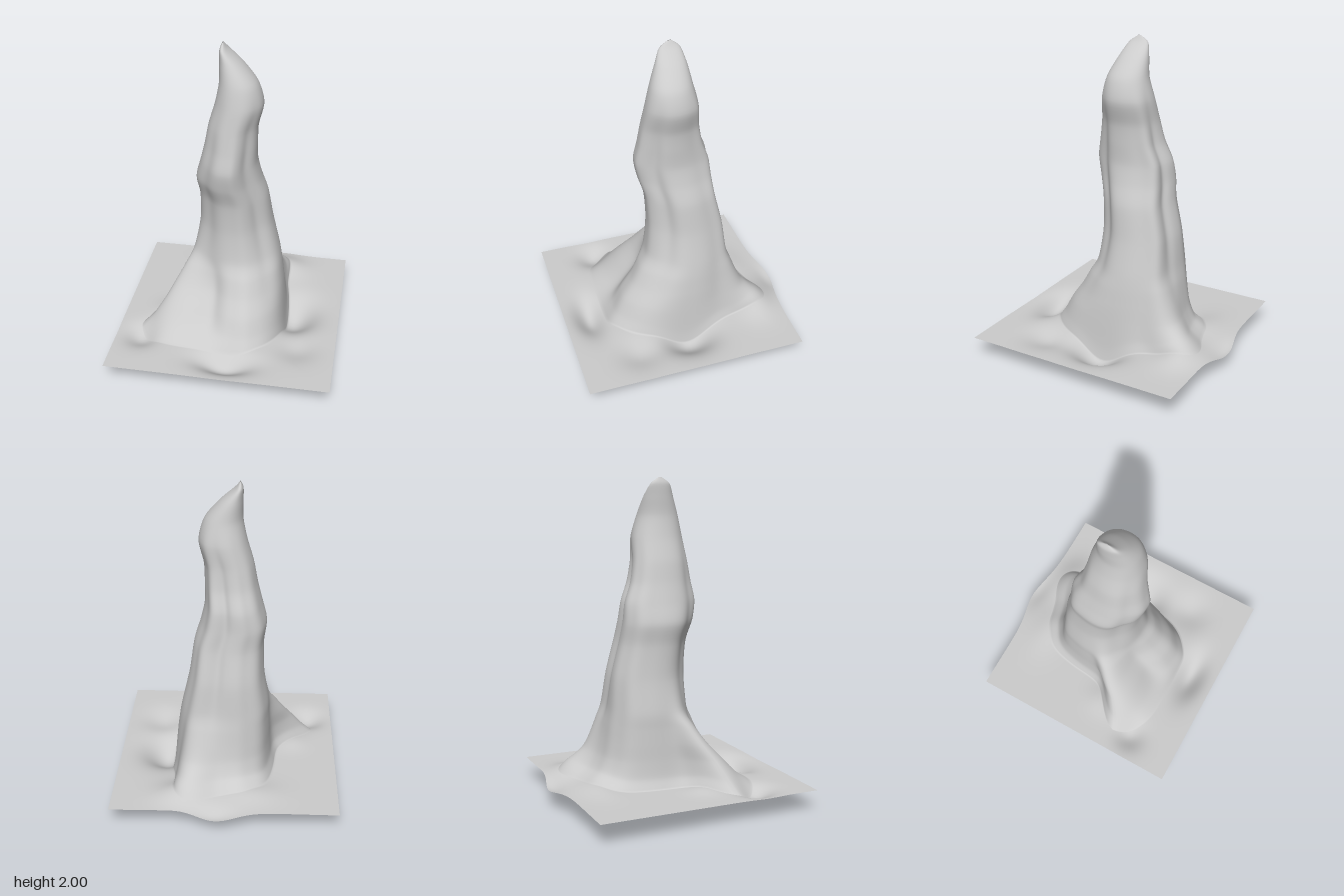
import * as THREE from 'three';

const SEG = 160, SPIRE_ROWS = 90, GROUND_ROWS = 36;
const GROUND_Y = 0.135, CZ = 0.0275, HALF = 0.7, FOOT = 0.29;

// Spire sections, tip to base: y, xMin, xMax, zMin, zMax, reach of the side foot
const SECTIONS = [
  [2.00, -0.075, -0.07, -0.04, -0.02, 0],
  [1.96, -0.09, -0.04, -0.09, 0.035, 0],
  [1.88, -0.09, 0.05, -0.115, 0.075, 0],
  [1.77, -0.09, 0.14, -0.135, 0.12, 0],
  [1.64, -0.115, 0.175, -0.17, 0.15, 0],
  [1.50, -0.155, 0.145, -0.185, 0.17, 0],
  [1.37, -0.18, 0.14, -0.21, 0.19, 0],
  [1.25, -0.21, 0.14, -0.255, 0.21, 0],
  [1.13, -0.24, 0.165, -0.27, 0.19, 0],
  [1.00, -0.225, 0.205, -0.285, 0.155, 0],
  [0.80, -0.23, 0.235, -0.33, 0.145, 0],
  [0.60, -0.26, 0.28, -0.35, 0.17, 0.015],
  [0.50, -0.265, 0.30, -0.365, 0.225, 0.065],
  [0.40, -0.27, 0.315, -0.38, 0.28, 0.12],
  [0.30, -0.275, 0.33, -0.40, 0.35, 0.175],
  [0.20, -0.285, 0.345, -0.44, 0.405, 0.24],
  [0.135, -0.31, 0.36, -0.51, 0.455, FOOT],
];

// Ridges and grooves down the spire: angle, strength, width
const RIDGES = [
  [0.72, -0.13, 0.3],
  [1.32, 0.03, 0.18],
  [2.3, -0.1, 0.35],
  [3.9, 0.08, 0.3],
  [4.4, 0.04, 0.2],
  [4.95, -0.1, 0.2],
  [5.42, 0.1, 0.22],
];

// Hollows and swells in the ground: x, z, height, x spread, z spread
const MOUNDS = [
  [0.40, -0.01, -0.132, 0.145, 0.165],
  [0.46, 0.34, -0.04, 0.13, 0.13],
  [0.03, 0.56, -0.09, 0.17, 0.09],
  [-0.54, 0.39, -0.055, 0.1, 0.1],
  [0.25, -0.51, 0.06, 0.16, 0.12],
  [0.06, -0.71, -0.028, 0.13, 0.07],
  [-0.12, -0.48, 0.03, 0.2, 0.12],
  [-0.42, 0.1, 0.02, 0.1, 0.1],
];

const bell = (d, s) => Math.exp(-((d / s) ** 2));

function groundHeight(x, z) {
  return MOUNDS.reduce((y, [mx, mz, h, sx, sz]) => y + h * bell(x - mx, sx) * bell(z - mz, sz), GROUND_Y);
}

// Smooth curves through the section values
const curveX = new THREE.CatmullRomCurve3(SECTIONS.map((s) => new THREE.Vector3(s[0], s[1], s[2])), false, 'catmullrom', 0.4);
const curveZ = new THREE.CatmullRomCurve3(SECTIONS.map((s) => new THREE.Vector3(s[3], s[4], s[5])), false, 'catmullrom', 0.4);

function spirePoint(t, a) {
  const { x: y, y: x0, z: x1 } = curveX.getPoint(t);
  const { x: z0, y: z1, z: foot } = curveZ.getPoint(t);
  const c = Math.cos(a), s = Math.sin(a);
  const low = 1 - THREE.MathUtils.smoothstep(y, GROUND_Y, 0.95);
  // Ridges fade at the tip; grooves also fade toward the base
  const fade = THREE.MathUtils.smoothstep(2 - y, 0.2, 0.7);
  const wave = RIDGES.reduce((sum, [ra, h, w]) => sum + h * (h < 0 ? 1 - low : 1 - 0.4 * low) * bell(a - ra, w), 1);
  const flute = 1 + fade * (wave - 1);
  // Side foot that broadens forward at the base, a hollow in front of it, and a spur behind
  const f = foot / FOOT;
  const d = a - 2.77;
  const lobe = foot * (bell(d, d < 0 ? 0.25 + 0.33 * f * f : 0.2)
    - 0.8 * (1 - f) * bell(a - 2.0, 0.35)
    + 0.45 * bell(a - 5.15, 0.35));
  // Rounded box that squares up toward the base
  const power = 0.95 - 0.1 * low;
  const box = (v) => Math.sign(v) * Math.abs(v) ** power;
  const x = (x0 + x1) / 2 + ((x1 - x0) / 2) * box(c) * flute + lobe * c;
  const z = (z0 + z1) / 2 + ((z1 - z0) / 2) * box(s) * flute + lobe * s;
  // Low rows settle onto the uneven ground
  const settle = 1 - THREE.MathUtils.smoothstep(y, GROUND_Y, 0.4);
  return [x, y + (groundHeight(x, z) - GROUND_Y) * settle, z];
}

// Square outer edge, bulging outward at the back
function edgePoint(a) {
  const c = Math.cos(a), s = Math.sin(a);
  const k = HALF / Math.max(Math.abs(c), Math.abs(s));
  const x = k * c;
  let z = CZ + k * s;
  if (s < 0 && Math.abs(s) >= Math.abs(c) - 1e-6) z -= 0.055 * bell(x - 0.03, 0.18);
  return [x, z];
}

function buildSurface() {
  const pos = [], index = [];
  const rows = SPIRE_ROWS + GROUND_ROWS;
  for (let i = 0; i <= rows; i++) {
    for (let j = 0; j < SEG; j++) {
      const a = (j / SEG) * Math.PI * 2;
      if (i <= SPIRE_ROWS) {
        pos.push(...spirePoint(i / SPIRE_ROWS, a));
        continue;
      }
      const u = (i - SPIRE_ROWS) / GROUND_ROWS;
      const [bx, , bz] = spirePoint(1, a);
      const [ex, ez] = edgePoint(a);
      const x = bx + (ex - bx) * u, z = bz + (ez - bz) * u;
      pos.push(x, groundHeight(x, z), z);
    }
  }
  for (let i = 0; i < rows; i++) {
    for (let j = 0; j < SEG; j++) {
      const k = (j + 1) % SEG;
      const p = i * SEG + j, q = i * SEG + k, r = p + SEG, s = q + SEG;
      index.push(p, q, r, q, s, r);
    }
  }
  const geo = new THREE.BufferGeometry();
  geo.setAttribute('position', new THREE.Float32BufferAttribute(pos, 3));
  geo.setIndex(index);
  geo.computeVertexNormals();
  return geo;
}

export function createModel() {
  const group = new THREE.Group();
  group.name = 'rockSpire';
  // One continuous open sheet: hollow spire running out into the ground
  const material = new THREE.MeshStandardMaterial({ color: 0xcccccc, side: THREE.DoubleSide });
  const mesh = new THREE.Mesh(buildSurface(), material);
  mesh.name = 'spireAndGround';
  group.add(mesh);
  return group;
}
